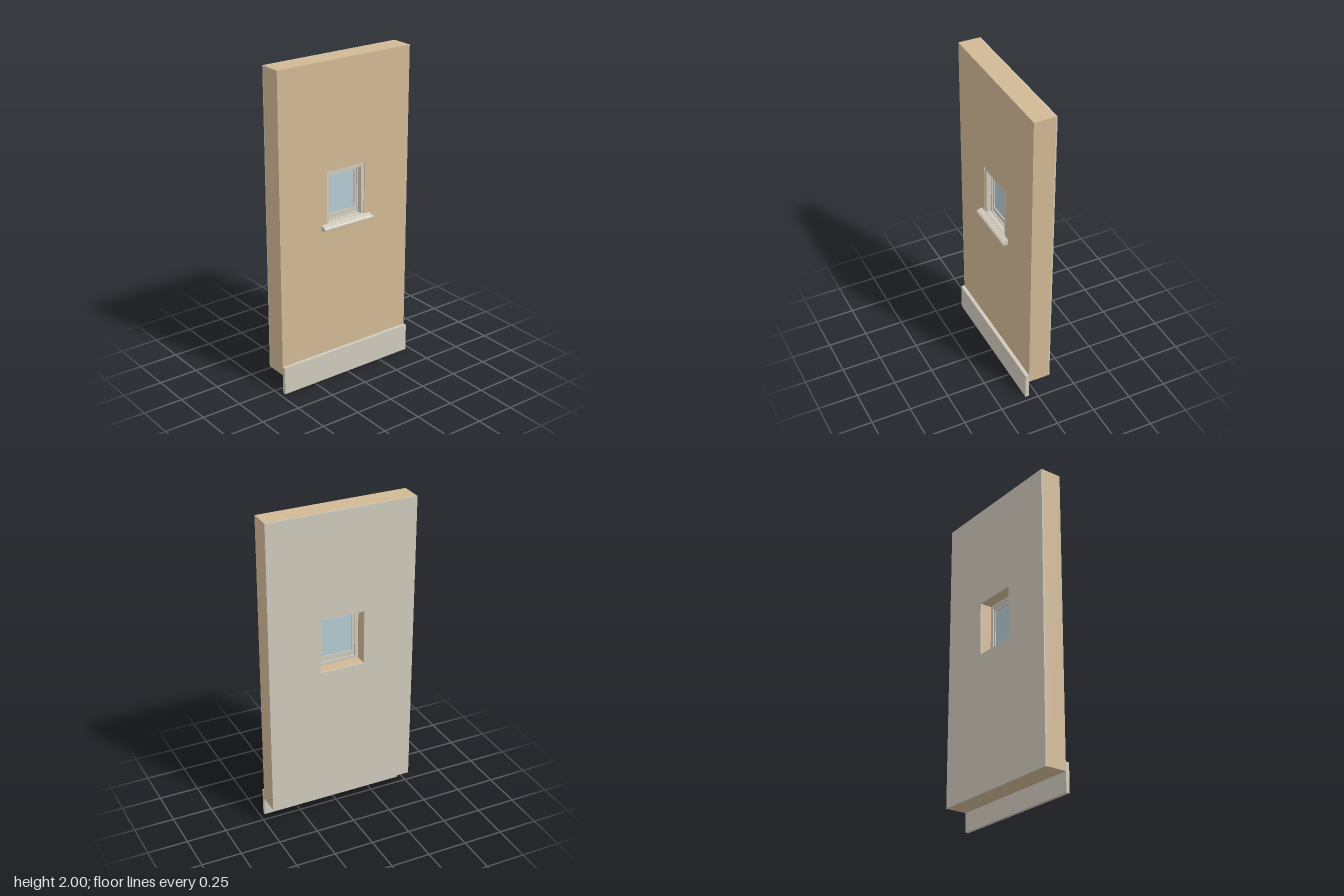
import * as THREE from 'three';

const mat = (name, color, extra = {}) => {
  const m = new THREE.MeshStandardMaterial({ color, ...extra });
  m.name = name;
  return m;
};

// Rectangle path from x0,y0 to x1,y1
function rect(Type, x0, y0, x1, y1) {
  const p = new Type();
  p.moveTo(x0, y0);
  p.lineTo(x1, y0);
  p.lineTo(x1, y1);
  p.lineTo(x0, y1);
  p.closePath();
  return p;
}

// Rectangular slab with a rectangular hole, spanning z0 to z1
function ring(name, outer, inner, z0, z1, material) {
  const shape = rect(THREE.Shape, ...outer);
  shape.holes.push(rect(THREE.Path, ...inner));
  const geo = new THREE.ExtrudeGeometry(shape, { depth: z1 - z0, bevelEnabled: false });
  geo.translate(0, 0, z0);
  const mesh = new THREE.Mesh(geo, material);
  mesh.name = name;
  return mesh;
}

function box(name, x0, y0, z0, x1, y1, z1, material) {
  const geo = new THREE.BoxGeometry(x1 - x0, y1 - y0, z1 - z0);
  geo.translate((x0 + x1) / 2, (y0 + y1) / 2, (z0 + z1) / 2);
  const mesh = new THREE.Mesh(geo, material);
  mesh.name = name;
  return mesh;
}

export function createModel() {
  const tan = mat('wallTan', 0xd0b894);
  const plaster = mat('plasterGrey', 0xcfc9bb);
  const trim = mat('trimGrey', 0xcfc9bb);
  const glass = mat('glassBlue', 0xb4cad2);

  const model = new THREE.Group();
  model.name = 'wallSection';

  // Wall core and thin inner lining, both with the window opening
  const wall = [-0.47, 0.12, 0.47, 2];
  const opening = [-0.14, 1.0, 0.14, 1.343];
  model.add(ring('wall', wall, opening, -0.081, 0.051, tan));
  model.add(ring('innerLining', wall, opening, -0.089, -0.081, plaster));

  // Base board hanging below the wall's front edge
  model.add(box('baseBoard', -0.47, 0, 0.051, 0.47, 0.175, 0.074, trim));

  // Window: stepped frame, sash and pane
  const windowGroup = new THREE.Group();
  windowGroup.name = 'window';
  const frameInner = [-0.119, 1.022, 0.119, 1.322];
  const stopInner = [-0.109, 1.03, 0.109, 1.314];
  const paneEdge = [-0.097, 1.058, 0.097, 1.298];
  windowGroup.add(ring('outerFrame', opening, frameInner, -0.012, 0.047, trim));
  windowGroup.add(ring('frameStop', frameInner, stopInner, -0.004, 0.018, trim));
  windowGroup.add(ring('sash', stopInner, paneEdge, -0.01, 0.01, trim));
  windowGroup.add(box('glassPane', -0.097, 1.058, -0.003, 0.097, 1.298, 0.003, glass));
  model.add(windowGroup);

  // Sloped sill: profile drawn in z,y and swept along x
  const profile = new THREE.Shape([
    [0.045, 0.987], [0.078, 0.985], [0.089, 0.992], [0.089, 1.002], [0.083, 1.009], [0.045, 1.02],
  ].map(([z, y]) => new THREE.Vector2(-z, y)));
  const sillGeo = new THREE.ExtrudeGeometry(profile, { depth: 0.356, bevelEnabled: false });
  sillGeo.translate(0, 0, -0.178);
  sillGeo.rotateY(Math.PI / 2);
  const sill = new THREE.Mesh(sillGeo, trim);
  sill.name = 'windowSill';
  model.add(sill);

  return model;
}
